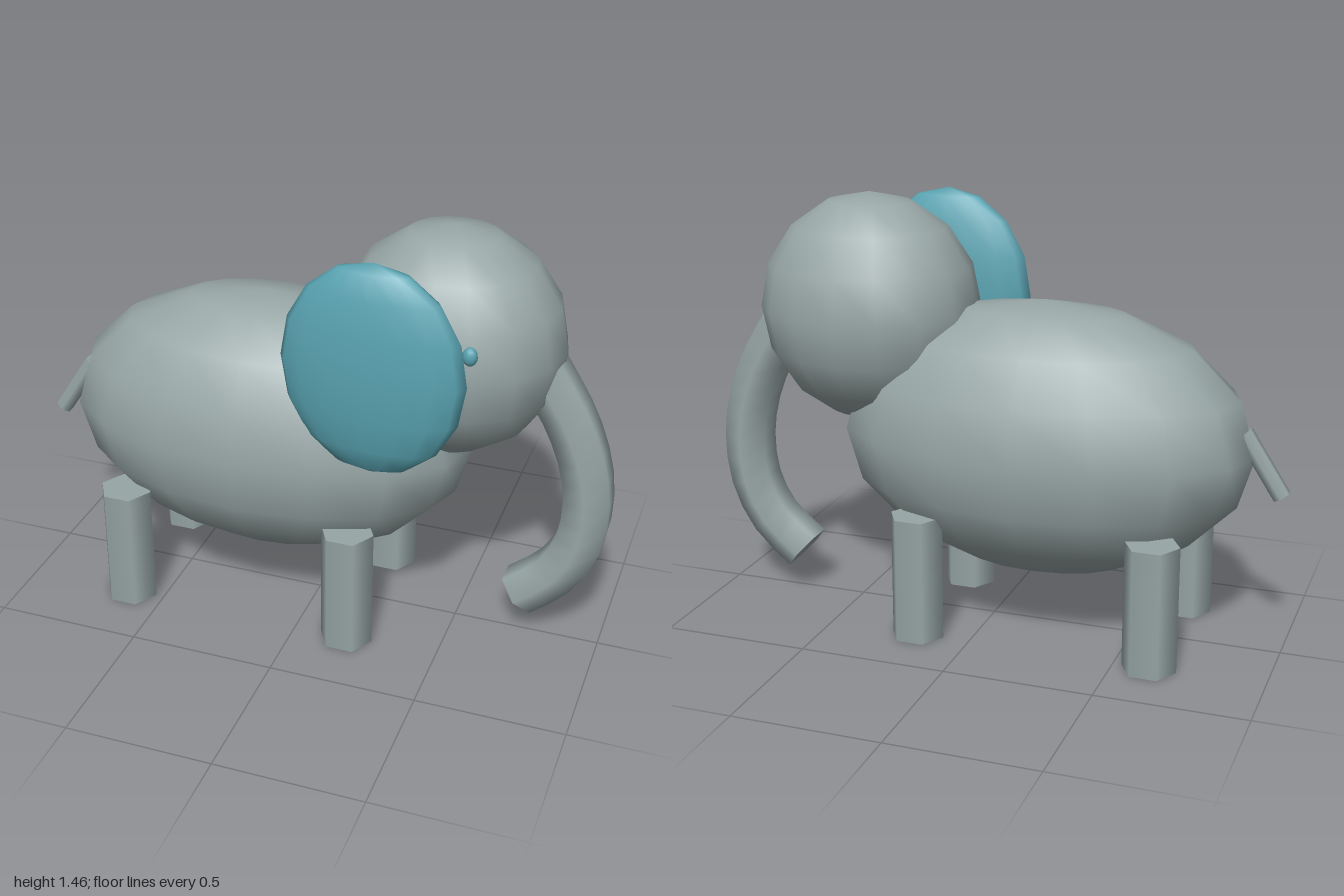
import * as THREE from 'three';

export function createModel() {
  const model = new THREE.Group();
  const grey = new THREE.MeshStandardMaterial({ color: 0x98a6a6 });
  grey.name = 'grey skin';
  const teal = new THREE.MeshStandardMaterial({ color: 0x58a2b0 });
  teal.name = 'teal';

  const add = (name, geometry, material, x = 0, y = 0, z = 0) => {
    const mesh = new THREE.Mesh(geometry, material);
    mesh.name = name;
    mesh.position.set(x, y, z);
    model.add(mesh);
    return mesh;
  };

  // Low-poly ellipsoid with radii rx, ry, rz
  const ellipsoid = (rx, ry, rz, w = 16, h = 8) => {
    const g = new THREE.SphereGeometry(1, w, h);
    g.scale(rx, ry, rz);
    return g;
  };

  add('body', ellipsoid(0.71, 0.465, 0.385), grey, -0.18, 0.67, -0.01);
  add('head', ellipsoid(0.38, 0.388, 0.325), grey, 0.438, 1.067, -0.013);

  // One ear and one eye, both on the front side
  const ear = add('ear', ellipsoid(0.305, 0.36, 0.088), teal, 0.275, 1.07, 0.303);
  ear.rotation.y = -0.05;
  add('eye', ellipsoid(0.024, 0.031, 0.02, 12, 8), teal, 0.578, 1.165, 0.293);

  // Hexagonal legs
  for (const x of [-0.62, 0.183]) {
    for (const z of [0.25, -0.26]) {
      const g = new THREE.CylinderGeometry(0.091, 0.091, 0.43, 6);
      g.rotateY(Math.PI / 2);
      add((x > 0 ? 'head-end' : 'tail-end') + (z > 0 ? ' front leg' : ' back leg'), g, grey, x, 0.215, z);
    }
  }

  // Curved hexagonal trunk with closed ends
  const path = new THREE.CatmullRomCurve3([
    [0.745, 1.005], [0.85, 0.83], [0.908, 0.67], [0.924, 0.52],
    [0.9, 0.375], [0.83, 0.25], [0.715, 0.15],
  ].map(([x, y]) => new THREE.Vector3(x, y, -0.008)));
  const trunkRadius = 0.088;
  add('trunk', new THREE.TubeGeometry(path, 12, trunkRadius, 6), grey);
  for (const [t, sign, name] of [[0, -1, 'trunk root'], [1, 1, 'trunk tip']]) {
    const out = path.getTangentAt(t).multiplyScalar(sign);
    const side = new THREE.Vector3(0, 0, 1);
    const up = new THREE.Vector3().crossVectors(out, side);
    const g = new THREE.CircleGeometry(trunkRadius, 6);
    g.applyMatrix4(new THREE.Matrix4().makeBasis(side, up, out));
    add(name, g, grey, ...path.getPointAt(t).toArray());
  }

  // Short slanted tail
  const tail = add('tail', new THREE.CylinderGeometry(0.031, 0.031, 0.24, 6), grey, -0.915, 0.65, -0.012);
  tail.rotation.z = -0.575;

  return model;
}
